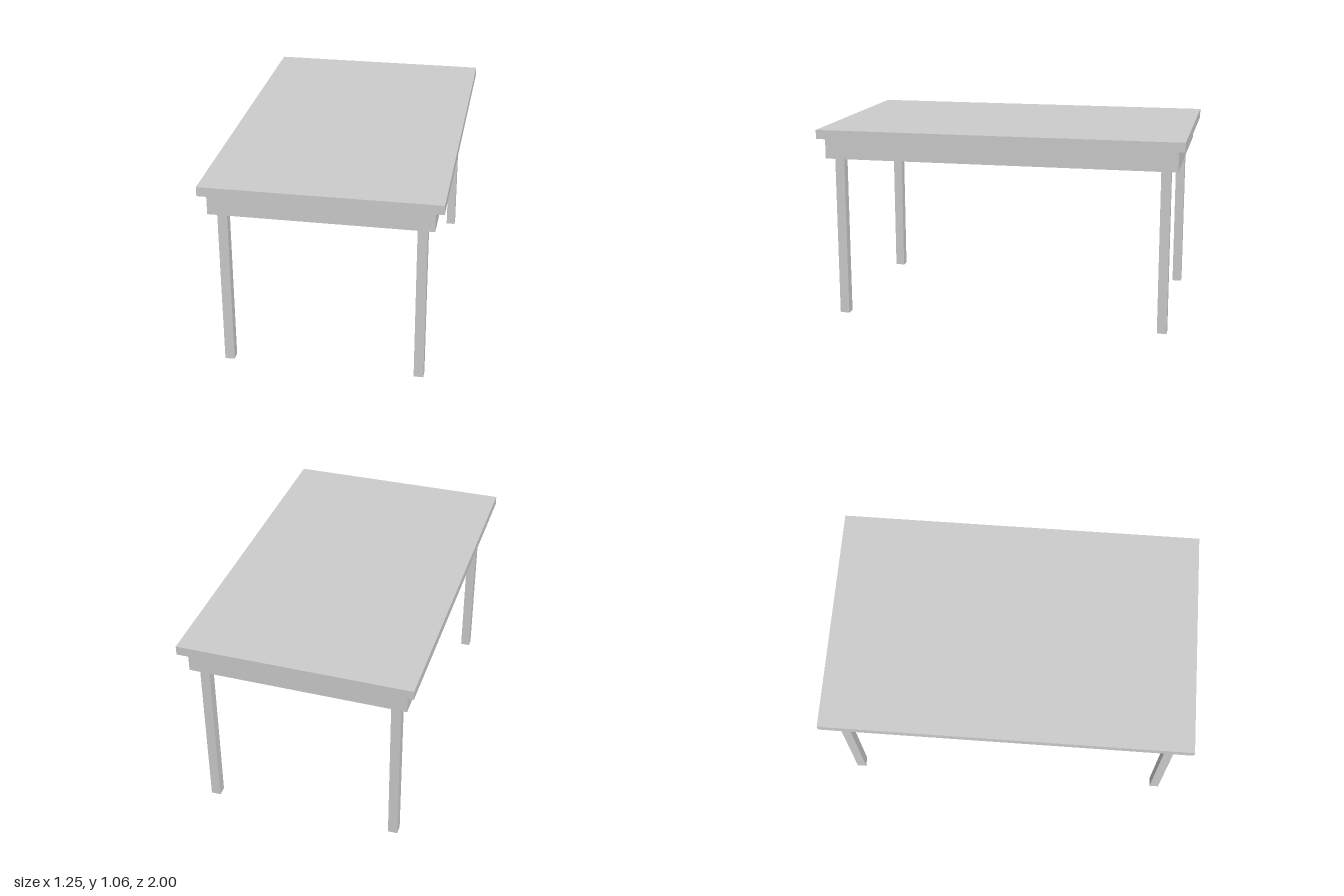
import * as THREE from 'three';

const material = new THREE.MeshStandardMaterial({ color: 0xcccccc, flatShading: true });

// Box given by its size, the height of its underside, and its plan centre
function addBox(parent, name, [w, h, d], x, bottom, z) {
  const mesh = new THREE.Mesh(new THREE.BoxGeometry(w, h, d), material);
  mesh.name = name;
  mesh.position.set(x, bottom + h / 2, z);
  parent.add(mesh);
}

export function createModel() {
  const table = new THREE.Group();
  table.name = 'table';

  const topBottom = 1.01, topThickness = 0.05;
  const apronBottom = 0.895, apronThickness = 0.04;
  const apronWidth = 1.164, apronLength = 1.93;
  const legWidth = 0.052;

  addBox(table, 'tableTop', [1.25, topThickness, 2], 0, topBottom, 0);

  // Apron and legs sit a hair off the centre of the top
  const base = new THREE.Group();
  base.name = 'base';
  base.position.set(-0.003, 0, 0.001);
  table.add(base);

  // Open apron frame: long side rails with end rails between them
  const apronHeight = topBottom - apronBottom;
  for (const s of [1, -1]) {
    addBox(base, s > 0 ? 'leftApron' : 'rightApron',
      [apronThickness, apronHeight, apronLength],
      s * (apronWidth - apronThickness) / 2, apronBottom, 0);
    addBox(base, s > 0 ? 'frontApron' : 'backApron',
      [apronWidth - 2 * apronThickness, apronHeight, apronThickness],
      0, apronBottom, s * (apronLength - apronThickness) / 2);
  }

  // Square legs in the inner corners of the apron, up to the table top
  const legX = apronWidth / 2 - apronThickness - legWidth / 2;
  const legZ = apronLength / 2 - apronThickness - legWidth / 2;
  for (const sx of [1, -1]) {
    for (const sz of [1, -1]) {
      addBox(base, (sz > 0 ? 'front' : 'back') + (sx > 0 ? 'Left' : 'Right') + 'Leg',
        [legWidth, topBottom, legWidth], sx * legX, 0, sz * legZ);
    }
  }

  return table;
}
